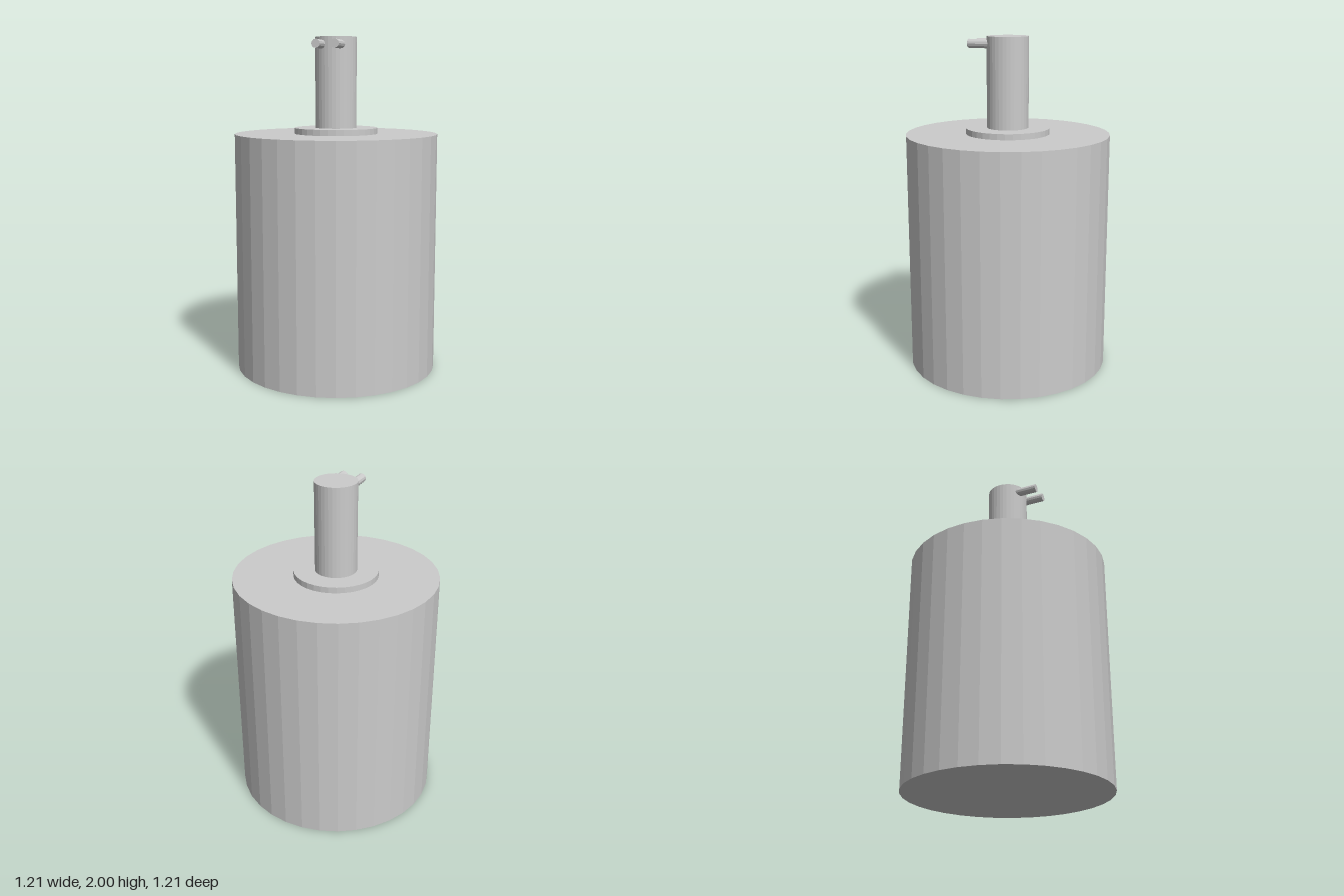
import * as THREE from 'three';

const SIDES = 34;
const material = new THREE.MeshStandardMaterial({ color: 0xcccccc, flatShading: true });

// Upright faceted cylinder between two heights, with a corner on the x axis
function drum(name, radius, bottom, top) {
  const geometry = new THREE.CylinderGeometry(radius, radius, top - bottom, SIDES, 1, false, Math.PI / 2);
  const mesh = new THREE.Mesh(geometry, material);
  mesh.name = name;
  mesh.position.y = (bottom + top) / 2;
  return mesh;
}

export function createModel() {
  const group = new THREE.Group();
  group.name = 'canister';

  // Main tank, collar and stem
  group.add(
    drum('body', 0.606, 0, 1.43),
    drum('collar', 0.25, 1.43, 1.465),
    drum('stem', 0.124, 1.465, 2)
  );

  // Pair of short pegs facing forward, rooted inside the stem
  const back = 0.07, front = 0.226;
  const pegGeometry = new THREE.CylinderGeometry(0.026, 0.026, front - back, 12).rotateX(Math.PI / 2);
  for (const side of [-1, 1]) {
    const peg = new THREE.Mesh(pegGeometry, material);
    peg.name = side > 0 ? 'leftPeg' : 'rightPeg';
    peg.position.set(side * 0.057, 1.955, (back + front) / 2);
    group.add(peg);
  }

  return group;
}
